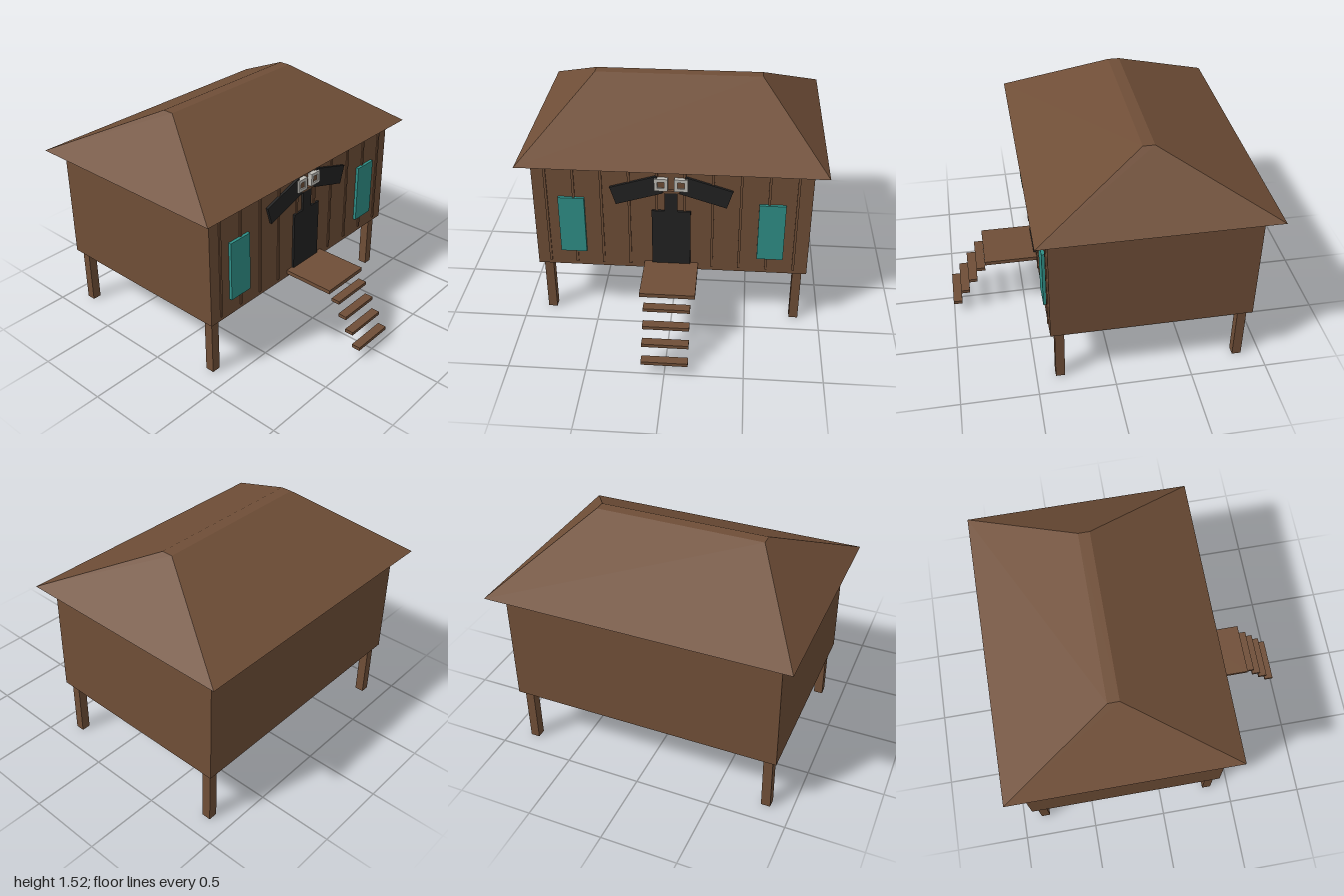
import * as THREE from 'three';

const material = (name, color) => {
  const m = new THREE.MeshStandardMaterial({ color });
  m.name = name;
  return m;
};

export function createModel() {
  const wood = material('brown wood', 0x6f4e37);
  const black = material('black paint', 0x222222);
  const teal = material('teal glass', 0x2f9088);
  const grey = material('pale grey', 0xc0beb8);

  const model = new THREE.Group();
  model.name = 'stiltHut';

  const add = (name, geometry, mat, parent = model) => {
    const mesh = new THREE.Mesh(geometry, mat);
    mesh.name = name;
    parent.add(mesh);
    return mesh;
  };
  // Box given by its extents on each axis
  const box = (name, mat, [x0, x1], [y0, y1], [z0, z1]) => {
    const mesh = add(name, new THREE.BoxGeometry(x1 - x0, y1 - y0, z1 - z0), mat);
    mesh.position.set((x0 + x1) / 2, (y0 + y1) / 2, (z0 + z1) / 2);
    return mesh;
  };
  const mirrored = (s, a, b) => (s > 0 ? [a, b] : [-b, -a]);

  const front = 0.405; // z of the front wall

  // Cabin
  box('cabin', wood, [-0.893, 0.893], [0.395, 1.17], [-0.905, front]);

  // Hipped roof: a box whose top is drawn in to a narrow ridge
  const roof = new THREE.BoxGeometry(1, 1, 1).toNonIndexed();
  const p = roof.attributes.position;
  for (let i = 0; i < p.count; i++) {
    const top = p.getY(i) > 0;
    const x = Math.sign(p.getX(i)) * (top ? 0.56 : 0.98);
    const z = p.getZ(i) > 0 ? (top ? -0.215 : 0.487) : (top ? -0.29 : -1);
    p.setXYZ(i, x, top ? 1.525 : 1.17, z);
  }
  roof.computeVertexNormals();
  add('roof', roof, wood);

  // Stilts
  for (const s of [-1, 1]) {
    for (const z of [-0.875, 0.315]) {
      box('stilt', wood, mirrored(s, 0.804, 0.864), [0, 0.395], [z, z + 0.06]);
    }
  }

  // Wall battens
  for (let i = 0; i < 10; i++) {
    const x = -0.807 + i * 0.1787;
    box('batten', wood, [x - 0.008, x + 0.008], [0.425, 1.17], [front, 0.413]);
  }

  // Porch and floating steps
  box('porch', wood, [-0.177, 0.177], [0.42, 0.447], [front, 0.76]);
  for (let i = 0; i < 4; i++) {
    const y = 0.352 - i * 0.0935;
    const z = 0.76 + i * 0.06;
    box('step', wood, [-0.149, 0.149], [y, y + 0.023], [z, z + 0.06]);
  }

  // Door with its narrow top
  box('door', black, [-0.125, 0.125], [0.447, 0.853], [front, 0.42]);
  box('doorNeck', black, [-0.041, 0.041], [0.853, 0.99], [front, 0.42]);
  box('doorCap', wood, [-0.055, 0.055], [0.99, 1.007], [front, 0.424]);

  // Square frame with an open centre
  const frameShape = new THREE.Shape();
  const square = (path, r) =>
    path.moveTo(-r, -r).lineTo(r, -r).lineTo(r, r).lineTo(-r, r).closePath();
  square(frameShape, 0.043);
  const hole = new THREE.Path();
  square(hole, 0.022);
  frameShape.holes.push(hole);
  const frame = new THREE.ExtrudeGeometry(frameShape, { depth: 0.03, bevelEnabled: false });

  for (const s of [-1, 1]) {
    box('window', teal, mirrored(s, 0.56, 0.73), [0.515, 0.925], [front, 0.425]);

    // Sloping wing board above the door
    const wing = add('wingBoard', new THREE.BoxGeometry(0.314, 0.128, 0.017), black);
    wing.position.set(s * 0.223, 1.001, 0.4135);
    wing.rotation.z = -s * 0.3;

    // Square eye
    add('eyeFrame', frame, grey).position.set(s * 0.064, 1.053, front);
    box('eyeCentre', wood, mirrored(s, 0.042, 0.086), [1.031, 1.075], [front, 0.426]);
  }

  return model;
}
